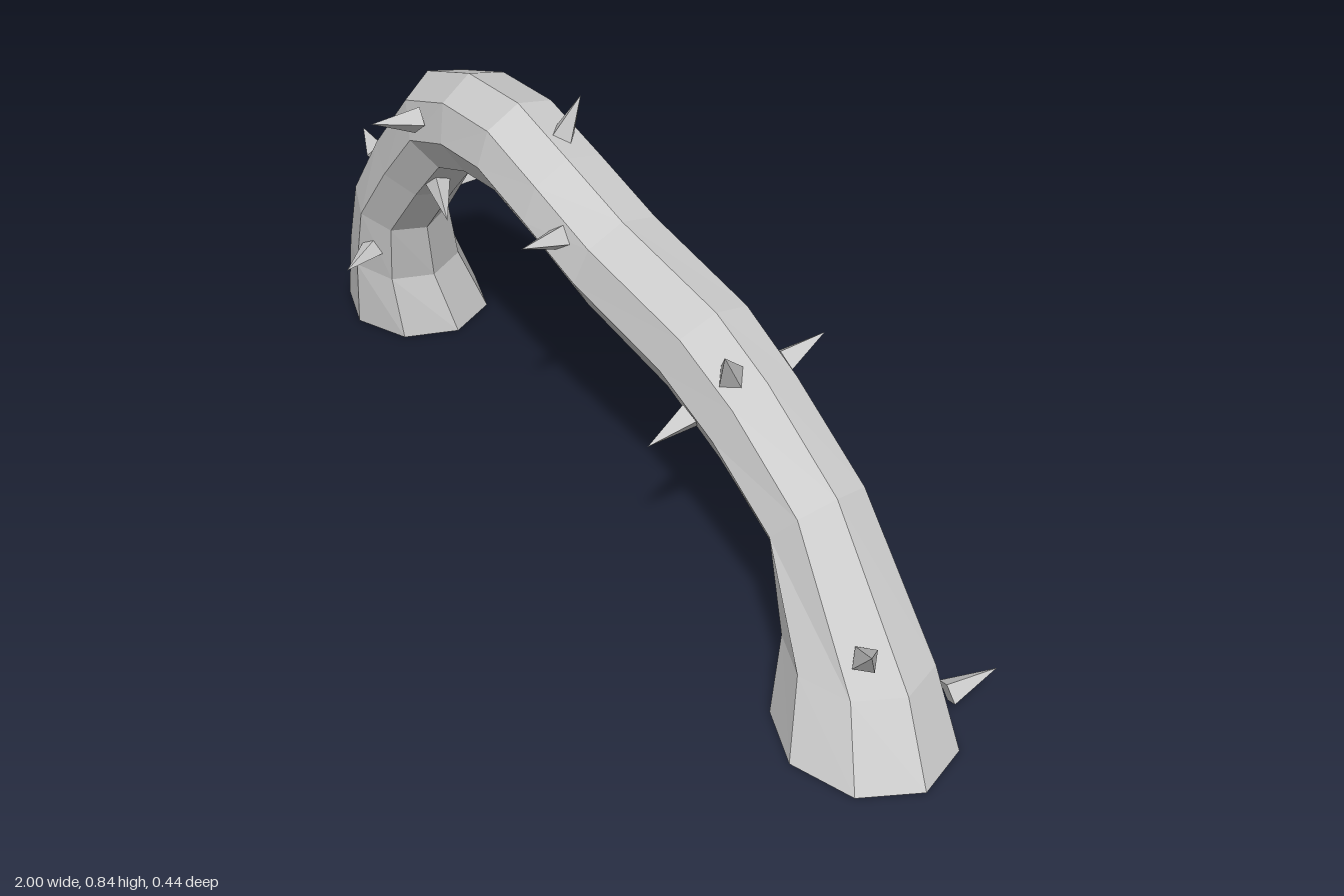
import * as THREE from 'three';

const SIDES = 8;

// Arch cross-sections: outer x, y, inner x, y, centre z, half depth, twist in degrees
const RINGS = [
  [-1.0, 0, -0.67, 0, -0.065, 0.155, 0],
  [-0.935, 0.18, -0.71, 0.14, -0.03, 0.125, 2],
  [-0.86, 0.36, -0.69, 0.28, -0.003, 0.108, 4],
  [-0.75, 0.53, -0.58, 0.42, 0.003, 0.105, 6],
  [-0.6, 0.71, -0.485, 0.53, 0.01, 0.105, 8],
  [-0.43, 0.78, -0.38, 0.575, 0.02, 0.105, 8],
  [-0.25, 0.795, -0.27, 0.59, 0.027, 0.105, 8],
  [-0.1, 0.74, -0.13, 0.54, 0.02, 0.107, 8],
  [0.05, 0.67, 0.0, 0.465, 0.003, 0.108, 8],
  [0.32, 0.61, 0.24, 0.41, -0.003, 0.107, 7],
  [0.47, 0.54, 0.4, 0.34, 0, 0.103, 6],
  [0.67, 0.41, 0.55, 0.26, 0.005, 0.105, 5],
  [0.91, 0.14, 0.62, 0.14, 0.03, 0.13, 5],
  [1.0, 0, 0.64, 0, 0.055, 0.16, 5],
];

// Thorns: base point, then tip
const THORNS = [
  [[-0.165, 0.745, 0], [-0.14, 0.838, -0.026]],
  [[-0.5, 0.67, 0.115], [-0.5, 0.695, 0.22]],
  [[-0.03, 0.627, 0.1], [-0.015, 0.645, 0.2]],
  [[-0.78, 0.44, 0.045], [-0.857, 0.465, 0.035]],
  [[-0.77, 0.225, 0.075], [-0.74, 0.21, 0.165]],
  [[0.345, 0.43, 0.085], [0.33, 0.387, 0.17]],
  [[0.415, 0.54, 0.05], [0.45, 0.618, 0.095]],
  [[0.84, 0.2, 0.085], [0.897, 0.265, 0.125]],
  [[-0.55, 0.49, 0.045], [-0.485, 0.425, 0.065]],
  [[0.61, 0.22, -0.04], [0.533, 0.183, -0.025]],
  [[0.88, 0.06, -0.085], [0.905, 0.085, -0.18]],
  [[-0.7, 0.372, -0.09], [-0.68, 0.36, -0.184]],
  [[-0.05, 0.57, -0.07], [-0.065, 0.553, -0.157]],
  [[0.405, 0.515, -0.08], [0.415, 0.548, -0.168]],
];

function archGeometry() {
  const positions = [];
  const index = [];
  RINGS.forEach(([ox, oy, ix, iy, z, depth, twist], i) => {
    for (let k = 0; k < SIDES; k++) {
      const a = (k / SIDES) * Math.PI * 2 + THREE.MathUtils.degToRad(twist);
      const t = 0.5 + 0.5 * Math.cos(a);
      positions.push(ix + (ox - ix) * t, iy + (oy - iy) * t, z + depth * Math.sin(a));
      if (i === RINGS.length - 1) continue;
      const p = i * SIDES + k;
      const q = i * SIDES + ((k + 1) % SIDES);
      index.push(p, q, p + SIDES, q, q + SIDES, p + SIDES);
    }
  });
  const geometry = new THREE.BufferGeometry();
  geometry.setAttribute('position', new THREE.Float32BufferAttribute(positions, 3));
  geometry.setIndex(index);
  geometry.computeVertexNormals();
  return geometry;
}

function makeThorn([base, tip], material) {
  const from = new THREE.Vector3(...base);
  const dir = new THREE.Vector3(...tip).sub(from);
  const length = dir.length();
  // Four-sided cone with its base at the origin
  const geometry = new THREE.ConeGeometry(0.028, length, 4).translate(0, length / 2, 0);
  const thorn = new THREE.Mesh(geometry, material);
  thorn.position.copy(from);
  thorn.quaternion.setFromUnitVectors(new THREE.Vector3(0, 1, 0), dir.normalize());
  thorn.name = 'thorn';
  return thorn;
}

export function createModel() {
  const model = new THREE.Group();
  model.name = 'thornyRootArch';
  const material = new THREE.MeshStandardMaterial({
    color: 0xcccccc, flatShading: true, side: THREE.DoubleSide,
  });

  // Arched root, open at both feet
  const arch = new THREE.Mesh(archGeometry(), material);
  arch.name = 'rootArch';
  model.add(arch);

  // Thorns scattered along the arch
  const thorns = new THREE.Group();
  thorns.name = 'thorns';
  THORNS.forEach((t) => thorns.add(makeThorn(t, material)));
  model.add(thorns);
  return model;
}
